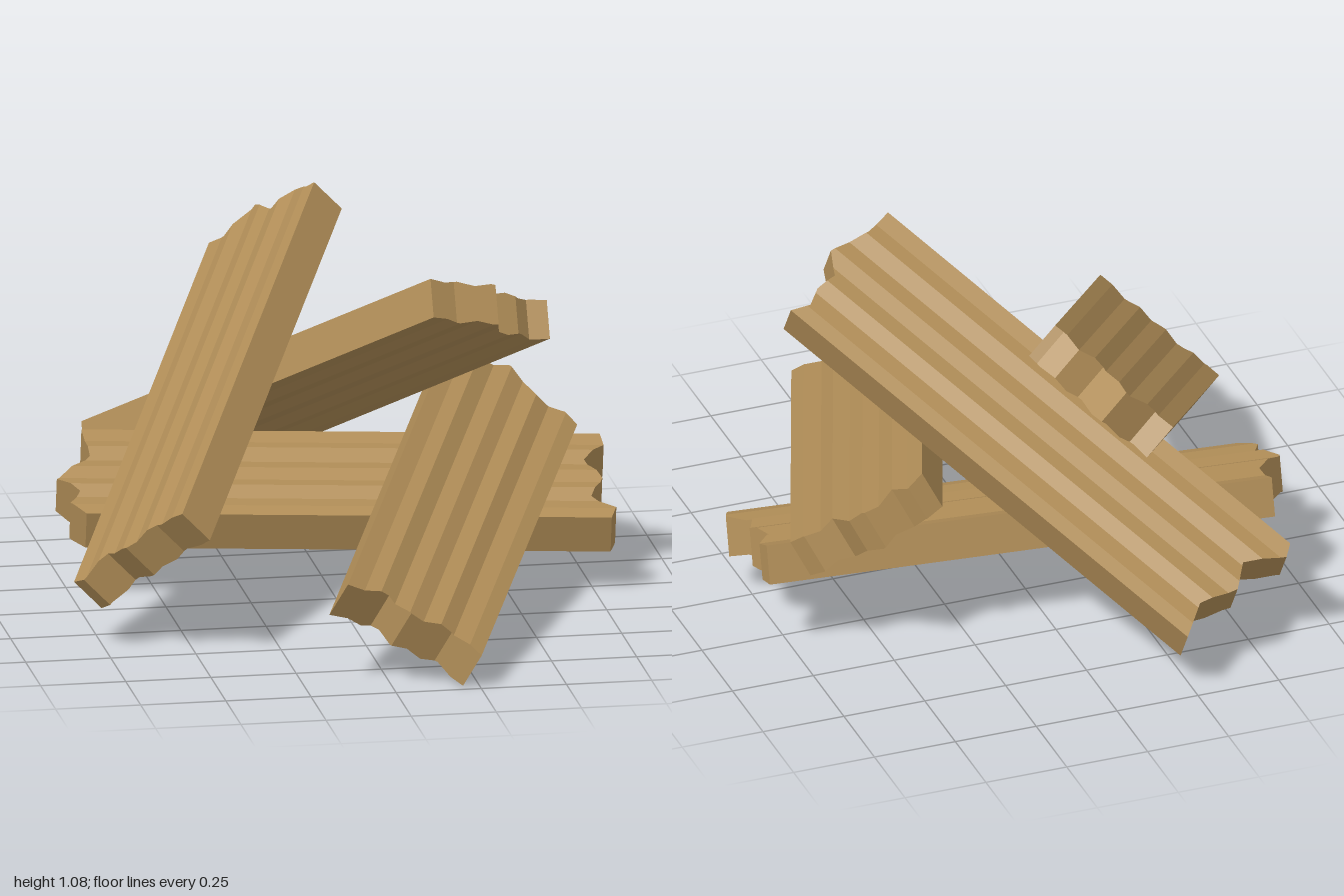
import * as THREE from 'three';

const THICK = 0.117;
// gentle grain ridges across the width, as [fraction, height]
const RIPPLE = [[0, 0], [0.12, -0.004], [0.22, 0.006], [0.34, -0.007], [0.45, 0.004],
  [0.56, -0.005], [0.67, 0.007], [0.78, -0.006], [0.9, 0.003], [1, 0]];

// piecewise-linear lookup
function sample(table, u) {
  for (let i = 1; i < table.length; i++) {
    const [u0, v0] = table[i - 1], [u1, v1] = table[i];
    if (u <= u1) return v0 + (v1 - v0) * (u - u0) / (u1 - u0);
  }
  return table[table.length - 1][1];
}

// plank with splintered ends: near and far list [width fraction, distance from middle]
function plankGeometry(width, near, far, grain) {
  const us = [...new Set([...near, ...far, ...RIPPLE].map(p => p[0]))].sort((a, b) => a - b);
  const cols = us.map(u => {
    const x = (u - 0.5) * width, h = sample(RIPPLE, u) * grain;
    const zn = sample(near, u), zf = -sample(far, u);
    return {
      nt: [x, h, zn], ft: [x, h, zf],
      nb: [x, -THICK - h, zn], fb: [x, -THICK - h, zf],
    };
  });
  const pos = [];
  const quad = (a, b, c, d) => pos.push(...a, ...b, ...c, ...a, ...c, ...d);
  for (let i = 1; i < cols.length; i++) {
    const l = cols[i - 1], r = cols[i];
    quad(l.nt, r.nt, r.ft, l.ft); // top
    quad(l.fb, r.fb, r.nb, l.nb); // underside
    quad(l.nb, r.nb, r.nt, l.nt); // near end
    quad(r.fb, l.fb, l.ft, r.ft); // far end
  }
  const l = cols[0], r = cols[cols.length - 1];
  quad(l.fb, l.nb, l.nt, l.ft); // left edge
  quad(r.nb, r.fb, r.ft, r.nt); // right edge
  const geo = new THREE.BufferGeometry();
  geo.setAttribute('position', new THREE.Float32BufferAttribute(pos, 3));
  geo.computeVertexNormals();
  return geo;
}

// centre is the middle of the top face; along runs near to far, across runs left to right
const PLANKS = [
  {
    name: 'leaningPlankLeft', centre: [-0.39, 0.64, -0.11],
    along: [0.402, 0.415, -0.817], across: [0.596, 0.562, 0.573], width: 0.45, grain: 0.8,
    near: [[0, 0.763], [0.1, 0.78], [0.28, 0.716], [0.48, 0.75], [0.74, 0.72], [1, 0.745]],
    far: [[0, 0.77], [0.15, 0.76], [0.37, 0.84], [0.59, 0.755], [0.78, 0.79], [0.93, 0.755], [1, 0.755]],
  },
  {
    name: 'leaningPlankBack', centre: [0.015, 0.615, -0.36],
    along: [-0.546, -0.452, -0.705], across: [0.835, -0.31, -0.448], width: 0.45, grain: 0.8,
    near: [[0, 0.75], [0.2, 0.75], [0.48, 0.79], [0.6, 0.73], [0.75, 0.74], [0.88, 0.72], [1, 0.75]],
    far: [[0, 0.78], [0.09, 0.8], [0.32, 0.72], [0.5, 0.765], [0.75, 0.715], [1, 0.76]],
  },
  {
    name: 'leaningPlankFront', centre: [0.33, 0.345, 0.278],
    along: [0.349, 0.188, -0.918], across: [0.844, -0.491, 0.217], width: 0.44, grain: 1.2,
    near: [[0, 0.765], [0.28, 0.7], [0.46, 0.735], [0.76, 0.7], [1, 0.74]],
    far: [[0, 0.78], [0.11, 0.83], [0.22, 0.8], [0.43, 0.86], [0.56, 0.83], [0.67, 0.775], [0.89, 0.78], [1, 0.755]],
  },
  {
    name: 'groundPlank', centre: [0.065, 0.31, -0.215],
    along: [0.991, -0.02, 0.132], across: [-0.132, -0.287, 0.949], width: 0.45, grain: 1.2,
    near: [[0, 0.75], [0.3, 0.73], [0.58, 0.83], [0.73, 0.765], [0.88, 0.795], [1, 0.75]],
    far: [[0, 0.75], [0.12, 0.76], [0.3, 0.7], [0.52, 0.75], [0.74, 0.715], [0.88, 0.785], [1, 0.77]],
  },
];

export function createModel() {
  const group = new THREE.Group();
  group.name = 'plankPile';
  const wood = new THREE.MeshStandardMaterial({ color: 0xb08d57 });
  wood.name = 'wood';

  for (const p of PLANKS) {
    const mesh = new THREE.Mesh(plankGeometry(p.width, p.near, p.far, p.grain), wood);
    mesh.name = p.name;
    const z = new THREE.Vector3(...p.along).normalize().negate();
    const y = new THREE.Vector3().crossVectors(z, new THREE.Vector3(...p.across)).normalize();
    const x = new THREE.Vector3().crossVectors(y, z);
    mesh.quaternion.setFromRotationMatrix(new THREE.Matrix4().makeBasis(x, y, z));
    mesh.position.set(...p.centre);
    group.add(mesh);
  }

  // centre the pile and rest it on the ground
  const box = new THREE.Box3().setFromObject(group, true);
  const mid = box.getCenter(new THREE.Vector3());
  for (const m of group.children) m.position.sub(new THREE.Vector3(mid.x, box.min.y, mid.z));
  return group;
}
